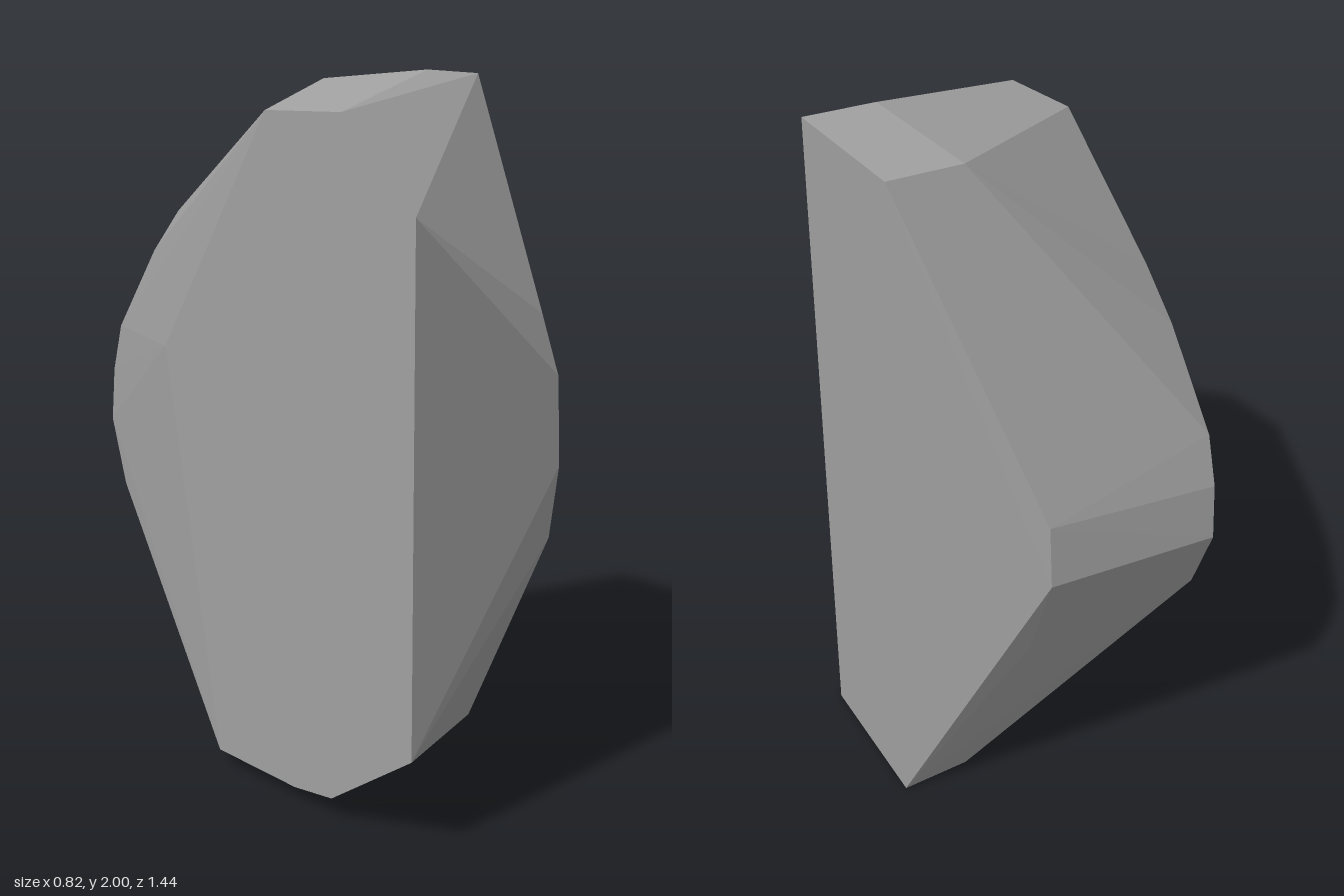
import * as THREE from 'three';
import { ConvexGeometry } from 'three/addons/geometries/ConvexGeometry.js';

export function createModel() {
  const group = new THREE.Group();
  group.name = 'rock';
  const stone = new THREE.MeshStandardMaterial({ color: 0xa0a0a0, flatShading: true });
  stone.name = 'grey stone';

  // Corners of each cut face, as [y, z] pairs at a fixed x
  const points = [];
  const ring = (x, corners) => corners.forEach(([y, z]) => points.push(new THREE.Vector3(x, y, z)));

  // Tall flat face on the left and the level ledges at top and bottom
  for (const x of [0.41, 0.2]) {
    const inset = x < 0.4 ? 0.003 : 0;
    ring(x, [[2, -0.33], [2, 0.13], [inset, -0.33], [inset, 0.13]]);
  }
  // Broad flat face on the right
  ring(-0.41, [
    [1.866, 0.15], [1.85, 0.45], [1.6, 0.715], [0.26, 0.715],
    [0.06, 0.41], [0.04, 0.255], [0.04, -0.09], [1.21, -0.33],
  ]);
  // Chipped edge at the back right
  ring(-0.355, [
    [1.6, -0.33], [1.48, -0.46], [1.24, -0.655], [1.1, -0.7], [0.94, -0.718], [0.74, -0.65],
  ]);
  // Ridge at the back left
  ring(0.14, [[1.12, -0.66], [0.94, -0.678], [0.65, -0.58]]);
  // Ridge at the front left
  ring(0.12, [[1.34, 0.65], [1.18, 0.71], [0.94, 0.72], [0.74, 0.69]]);

  const body = new THREE.Mesh(new ConvexGeometry(points), stone);
  body.name = 'rockBody';
  group.add(body);
  return group;
}
